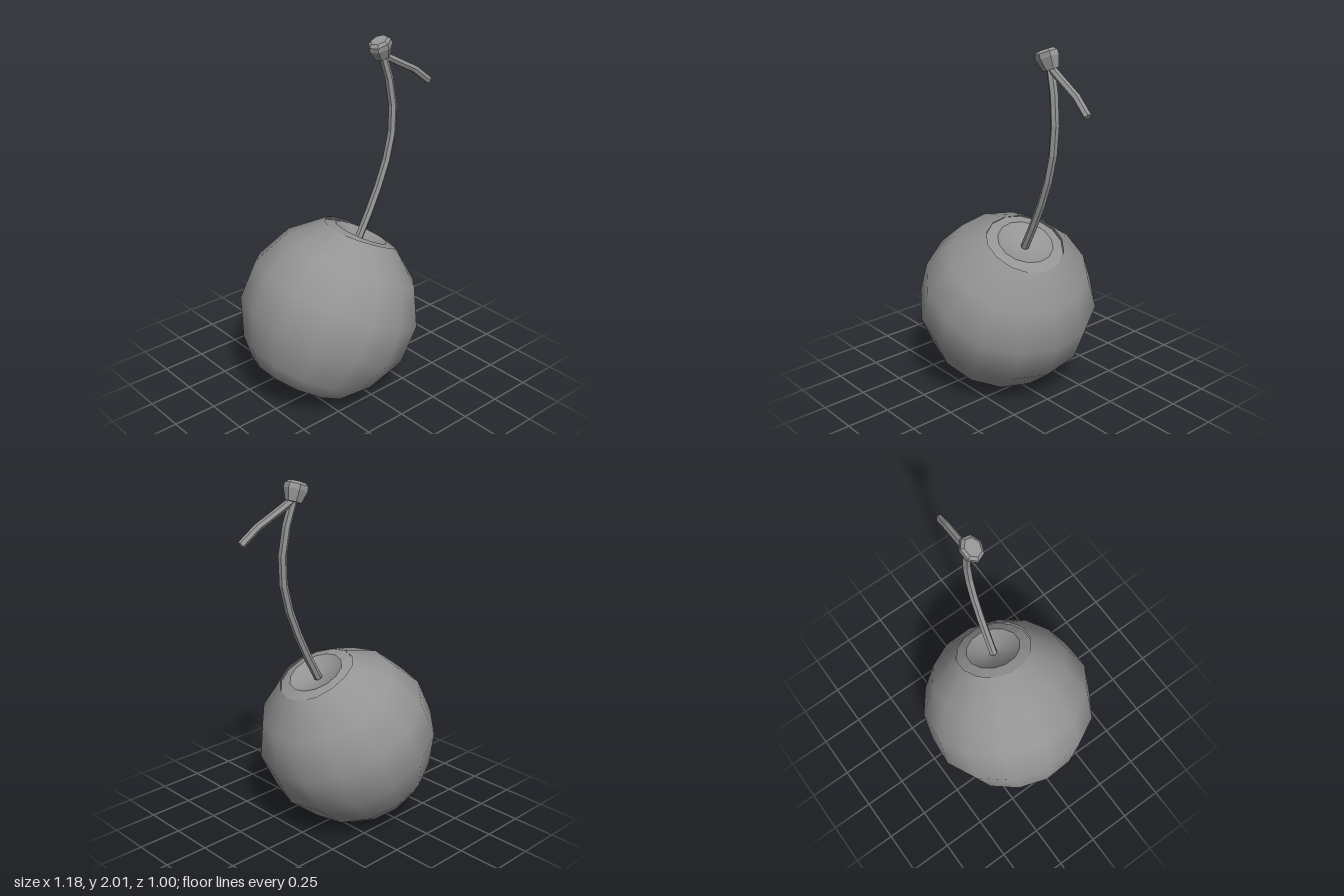
import * as THREE from 'three';

const smooth = new THREE.MeshStandardMaterial({ color: 0x949494, side: THREE.DoubleSide });
const faceted = new THREE.MeshStandardMaterial({ color: 0x949494, flatShading: true, side: THREE.DoubleSide });
const UP = new THREE.Vector3(0, 1, 0);
const SIDES = 14;

function lathe(name, profile, sides, material) {
  const points = profile.map(([r, y]) => new THREE.Vector2(r, y));
  const mesh = new THREE.Mesh(new THREE.LatheGeometry(points, sides, 0.1), material);
  mesh.name = name;
  return mesh;
}

// Six-sided twig following a curve, closed at both ends
function twig(name, path, radius, segments) {
  const group = new THREE.Group();
  group.name = name;
  const curve = new THREE.CatmullRomCurve3(path.map(p => new THREE.Vector3(...p)));
  const tube = new THREE.Mesh(new THREE.TubeGeometry(curve, segments, radius, 6), faceted);
  tube.name = name + 'Tube';
  group.add(tube);
  for (const t of [0, 1]) {
    const cap = new THREE.Mesh(new THREE.CircleGeometry(radius, 6), faceted);
    cap.name = name + 'End';
    cap.position.copy(curve.getPoint(t));
    const outward = curve.getTangent(t).multiplyScalar(t ? 1 : -1);
    cap.quaternion.setFromUnitVectors(new THREE.Vector3(0, 0, 1), outward);
    group.add(cap);
  }
  return group;
}

export function createModel() {
  const model = new THREE.Group();
  model.name = 'cherry';

  // Flesh, with the dent underneath running front to back
  const flesh = lathe('flesh', [
    [0, -0.472], [0.07, -0.466], [0.14, -0.443], [0.195, -0.46], [0.308, -0.416],
    [0.393, -0.322], [0.494, -0.111], [0.494, 0.111], [0.393, 0.312], [0.217, 0.45],
  ], SIDES, smooth);
  const pos = flesh.geometry.attributes.position;
  for (let i = 0; i < pos.count; i++) {
    const r = Math.hypot(pos.getX(i), pos.getZ(i));
    if (r > 0.05 && r < 0.25) pos.setY(i, pos.getY(i) + 0.018 * (pos.getZ(i) / r) ** 2);
  }

  // Fruit: flesh, faceted rim and smooth hollow, tilted as one
  const fruit = new THREE.Group();
  fruit.name = 'fruit';
  fruit.add(
    flesh,
    lathe('hollowRim', [[0.217, 0.45], [0.155, 0.466]], SIDES, faceted),
    lathe('hollow', [[0.155, 0.466], [0.08, 0.432], [0, 0.418]], SIDES, smooth),
  );
  fruit.position.set(-0.1, 0.51, 0);
  fruit.quaternion.setFromUnitVectors(UP, new THREE.Vector3(0.195, 0.405, 0.038).normalize());
  model.add(fruit);

  // Curved stem and the short side twig at its top
  model.add(twig('stem', [
    [0.088, 0.895, 0.033], [0.2, 1.115, 0.04], [0.287, 1.34, 0.045], [0.32, 1.5, 0.045],
    [0.322, 1.64, 0.04], [0.3, 1.78, 0.03], [0.258, 1.92, 0.018],
  ], 0.023, 7));
  model.add(twig('sideTwig', [
    [0.258, 1.908, 0.02], [0.35, 1.858, 0.03], [0.46, 1.804, 0.042], [0.573, 1.716, 0.06],
  ], 0.021, 3));

  // Woody knob where stem and twig meet, wider across than deep
  const knob = lathe('knob', [
    [0, -0.055], [0.038, -0.054], [0.057, 0.008], [0.055, 0.034], [0.04, 0.049], [0, 0.049],
  ], 7, faceted);
  knob.scale.x = 1.25;
  knob.position.set(0.246, 1.944, 0.02);
  knob.quaternion.setFromUnitVectors(UP, new THREE.Vector3(-0.35, 0.93, 0.08).normalize());
  model.add(knob);

  return model;
}
